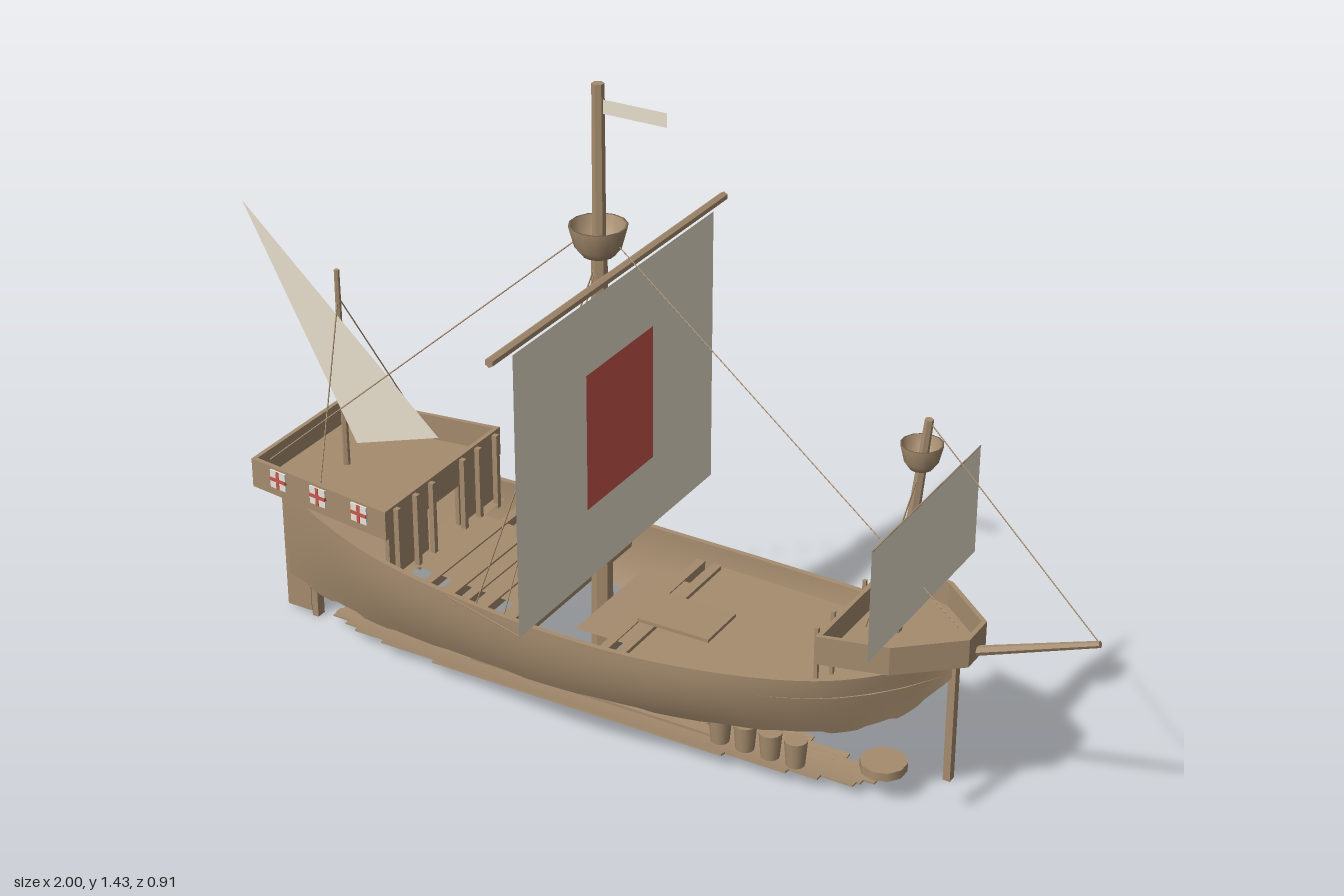
import * as THREE from 'three';

const mat = (name, color, side = THREE.DoubleSide) => {
  const m = new THREE.MeshStandardMaterial({ color, side });
  m.name = name;
  return m;
};

export function createModel() {
  const root = new THREE.Group();
  root.name = 'sailingShip';
  const wood = mat('wood', 0xa58c6e);
  const cloth = mat('sailCloth', 0xe8e0cd);
  const white = mat('shieldWhite', 0xf6f1e6);
  const red = mat('redPaint', 0xc8564b, THREE.FrontSide);

  const V = (x, y, z = 0) => new THREE.Vector3(x, y, z);
  const add = (name, geo, material, parent = root) => {
    const m = new THREE.Mesh(geo, material);
    m.name = name;
    parent.add(m);
    return m;
  };
  const box = (name, x0, x1, y0, y1, z0, z1) => {
    const m = add(name, new THREE.BoxGeometry(x1 - x0, y1 - y0, z1 - z0), wood);
    m.position.set((x0 + x1) / 2, (y0 + y1) / 2, (z0 + z1) / 2);
    return m;
  };
  // six-sided tapered bar between two points
  const bar = (name, a, b, r0, r1, sides = 6) => {
    const g = new THREE.CylinderGeometry(r1, r0, a.distanceTo(b), sides).toNonIndexed();
    g.computeVertexNormals();
    const m = add(name, g, wood);
    m.position.copy(a).add(b).multiplyScalar(0.5);
    m.quaternion.setFromUnitVectors(V(0, 1), b.clone().sub(a).normalize());
    return m;
  };
  const line = (a, b) => bar('rope', a, b, 0.0015, 0.0015, 4);
  // flat polygon from corner points
  const sheet = (name, pts, material) => {
    const g = new THREE.BufferGeometry().setFromPoints(pts);
    g.setIndex(pts.length === 4 ? [0, 1, 2, 0, 2, 3] : [0, 1, 2]);
    g.computeVertexNormals();
    return add(name, g, material);
  };
  // symmetric plan outline from [x, halfWidth] pairs, extruded upwards
  const outline = (pts) => [
    ...pts.map(([x, w]) => new THREE.Vector2(x, -w)),
    ...pts.slice().reverse().map(([x, w]) => new THREE.Vector2(x, w)),
  ];
  const prism = (name, pts, y0, y1, inner) => {
    const s = new THREE.Shape(outline(pts));
    if (inner) s.holes.push(new THREE.Path(outline(inner)));
    const g = new THREE.ExtrudeGeometry(s, { depth: y1 - y0, bevelEnabled: false });
    g.rotateX(-Math.PI / 2).translate(0, y0, 0);
    return add(name, g, wood);
  };
  let seed = 7;
  const rand = () => (seed = (seed * 16807) % 2147483647) / 2147483647;

  // hull stations: x, then half width and height of rim, bilge and lower edge
  const stations = [
    [-0.87, 0.11, 0.39, 0.108, 0.27, 0.095, 0.14],
    [-0.7, 0.178, 0.366, 0.17, 0.26, 0.145, 0.146],
    [-0.5, 0.225, 0.345, 0.217, 0.25, 0.185, 0.155],
    [-0.1, 0.248, 0.32, 0.24, 0.24, 0.214, 0.167],
    [0.2, 0.232, 0.326, 0.222, 0.25, 0.188, 0.175],
    [0.47, 0.18, 0.35, 0.164, 0.28, 0.13, 0.195],
    [0.6, 0.11, 0.37, 0.096, 0.32, 0.073, 0.24],
    [0.695, 0.014, 0.39, 0.012, 0.365, 0.01, 0.33],
  ];
  const curves = [1, 3, 5].map((k) => new THREE.CatmullRomCurve3(
    stations.map((s) => V(s[0], s[k + 1], s[k]))));
  const N = 60, M = 8, thick = 0.012;
  const section = (i) => {
    const p = curves.map((c) => c.getPoint(i / N));
    const ctrl = p[1].clone().multiplyScalar(2).sub(p[0].clone().add(p[2]).multiplyScalar(0.5));
    return new THREE.QuadraticBezierCurve3(p[0], ctrl, p[2]);
  };
  // stepped lower edge shared by both sides
  const ragged = Array.from({ length: N + 1 }, (_, i) => 0.94 + 0.06 * ((Math.floor(i / 4) * 3) % 5) / 4);
  for (const side of [1, -1]) {
    for (const inset of [0, thick]) {
      const pos = [], idx = [];
      for (let i = 0; i <= N; i++) for (let j = 0; j <= M; j++) {
        const p = section(i).getPoint((j / M) * ragged[i]);
        pos.push(p.x, p.y, side * Math.max(p.z - inset, 0.002));
        if (i < N && j < M) {
          const a = i * (M + 1) + j, b = a + M + 1;
          idx.push(...(side > 0 ? [a, a + 1, b, b, a + 1, b + 1] : [a, b, a + 1, b, b + 1, a + 1]));
        }
      }
      const g = new THREE.BufferGeometry();
      g.setAttribute('position', new THREE.Float32BufferAttribute(pos, 3));
      g.setIndex(idx);
      g.computeVertexNormals();
      add(inset ? 'hullLining' : 'hullSide', g, wood);
    }
    // gunwale closing the rim
    const rim = [];
    for (let i = 0; i < N; i++) {
      const a = section(i).getPoint(0), b = section(i + 1).getPoint(0);
      const q = [V(a.x, a.y, a.z), V(b.x, b.y, b.z), V(b.x, b.y, Math.max(b.z - thick, 0.002)), V(a.x, a.y, Math.max(a.z - thick, 0.002))];
      q.forEach((v) => (v.z *= side));
      rim.push(...(side > 0 ? [q[0], q[1], q[2], q[0], q[2], q[3]] : [q[0], q[2], q[1], q[0], q[3], q[2]]));
    }
    const g = new THREE.BufferGeometry().setFromPoints(rim);
    g.computeVertexNormals();
    add('gunwale', g, wood);
  }

  // deck following the sheer, cut open amidships
  const rimAt = (x) => {
    let lo = 0, hi = 1;
    for (let k = 0; k < 30; k++) {
      const m = (lo + hi) / 2;
      if (curves[0].getPoint(m).x < x) lo = m; else hi = m;
    }
    return curves[0].getPoint(lo);
  };
  const deck = (x0, x1, maxW) => {
    const n = 12, pos = [], idx = [];
    for (let i = 0; i <= n; i++) {
      const r = rimAt(x0 + ((x1 - x0) * i) / n), w = Math.min(maxW, r.z - 0.006);
      pos.push(r.x, r.y - 0.045, w, r.x, r.y - 0.045, -w);
      if (i < n) idx.push(2 * i, 2 * i + 2, 2 * i + 1, 2 * i + 1, 2 * i + 2, 2 * i + 3);
    }
    const g = new THREE.BufferGeometry();
    g.setAttribute('position', new THREE.Float32BufferAttribute(pos, 3));
    g.setIndex(idx);
    g.computeVertexNormals();
    add('deck', g, wood);
  };
  deck(-0.865, -0.5, 1);
  deck(-0.5, -0.2, 0.13);
  deck(-0.1, 0.02, 0.14);
  deck(0.045, 0.68, 1);
  for (const [x, w] of [[-0.45, 0.02], [-0.395, 0.035], [-0.35, 0.02], [-0.31, 0.035], [-0.24, 0.035], [-0.19, 0.012], [-0.01, 0.02], [0.03, 0.02]]) {
    const r = rimAt(x);
    box('deckBeam', x - w / 2, x + w / 2, r.y - 0.062, r.y - 0.042, -r.z + 0.008, r.z - 0.008);
  }
  // hatch cover and ladder
  box('hatch', 0.0, 0.17, 0.28, 0.288, -0.06, 0.06);
  for (const z of [-0.03, 0.03]) box('ladderRail', 0.152, 0.158, 0.06, 0.28, z - 0.003, z + 0.003);

  // bottom planking: long strakes with ragged ends, rising slightly outwards
  for (let k = -5; k <= 5; k++) {
    const reach = (1 - (k / 5.6) ** 2) ** 0.4, y = 0.024 + 0.01 * (k / 5) ** 2;
    const x0 = -0.14 - 0.69 * reach * (0.94 + 0.06 * rand()), x1 = -0.14 + 0.69 * reach * (0.94 + 0.06 * rand());
    const strake = box('bottomStrake', x0, x1, y, y + 0.004, k * 0.0165 - 0.0085, k * 0.0165 + 0.0085);
    strake.rotation.x = -0.04 * k;
  }
  box('keelson', -0.44, 0.16, 0.022, 0.036, -0.03, 0.03);

  // stores in the hold
  for (let i = 0; i < 4; i++) for (const z of [-0.077, 0.077]) {
    const b = add('barrel', new THREE.CylinderGeometry(0.025, 0.02, 0.06, 12), wood);
    b.position.set(0.21 + i * 0.059, 0.095, z);
  }
  add('capstanBase', new THREE.CylinderGeometry(0.05, 0.05, 0.02, 10), wood).position.set(0.55, 0.075, 0);
  const funnel = add('funnel', new THREE.ConeGeometry(0.022, 0.045, 10), wood);
  funnel.position.set(-0.61, 0.083, -0.1);
  funnel.rotation.z = Math.PI / 2;

  // stern post, rudder and stem post
  box('sternPost', -0.882, -0.866, 0, 0.385, -0.012, 0.012);
  box('rudder', -0.95, -0.885, 0.01, 0.365, -0.01, 0.01);
  box('stemPost', 0.687, 0.703, 0.09, 0.39, -0.01, 0.01);

  // stern castle
  prism('sternCastleFloor', [[-0.9, 0.17], [-0.515, 0.222]], 0.405, 0.415);
  prism('sternCastleWall', [[-0.9, 0.17], [-0.515, 0.222]], 0.41, 0.473, [[-0.89, 0.161], [-0.525, 0.211]]);
  for (const z of [-0.19, -0.12, -0.06, 0.06, 0.12, 0.19]) box('bulkheadPost', -0.512, -0.5, 0.29, 0.47, z - 0.006, z + 0.006);
  for (const s of [1, -1]) box('bulkhead', -0.53, -0.52, 0.29, 0.41, s > 0 ? 0.06 : -0.205, s > 0 ? 0.205 : -0.06);

  // painted shields
  const slope = Math.atan2(0.052, 0.385);
  for (const s of [1, -1]) for (const x of [-0.82, -0.705, -0.587]) {
    const shield = new THREE.Group();
    shield.name = 'shield';
    add('shieldFace', new THREE.BoxGeometry(0.044, 0.042, 0.004), white, shield);
    add('crossUpright', new THREE.BoxGeometry(0.008, 0.042, 0.007), red, shield);
    add('crossArm', new THREE.BoxGeometry(0.044, 0.008, 0.007), red, shield);
    shield.position.set(x, 0.447, s * (0.173 + (x + 0.9) * 0.135));
    shield.rotation.y = -s * slope;
    root.add(shield);
  }

  // forecastle
  const fore = [[0.475, 0.18], [0.62, 0.145], [0.742, 0.04]];
  prism('forecastleFloor', fore, 0.392, 0.402);
  prism('forecastleWall', fore, 0.395, 0.455, [[0.485, 0.168], [0.615, 0.136], [0.732, 0.036]]);
  for (const z of [-0.14, -0.07, 0.07, 0.14]) box('forecastlePost', 0.455, 0.463, 0.3, 0.45, z - 0.004, z + 0.004);

  // masts, yards and bowsprit
  bar('mainMast', V(-0.12, 0.06), V(-0.12, 1.1), 0.025, 0.016);
  bar('mainTopmast', V(-0.12, 1.05), V(-0.12, 1.432), 0.014, 0.013);
  bar('foreMast', V(0.56, 0.4), V(0.615, 0.89), 0.016, 0.009);
  bar('mizzenMast', V(-0.772, 0.41), V(-0.772, 0.883), 0.008, 0.006);
  bar('mainYard', V(-0.088, 1.031, -0.457), V(-0.088, 1.031, 0.457), 0.01, 0.01);
  bar('foreYard', V(0.62, 0.721, -0.245), V(0.62, 0.721, 0.245), 0.0015, 0.0015);
  bar('bowsprit', V(0.69, 0.39), V(0.995, 0.503), 0.011, 0.007);

  // lookout tops
  const top = (x, y, r, h) => {
    const pts = [[0, 0], [0.55, 0], [0.8, 0.3], [1, 1], [0.9, 1], [0.72, 0.35], [0, 0.2]];
    add('lookoutTop', new THREE.LatheGeometry(pts.map(([a, b]) => new THREE.Vector2(a * r, b * h)), 14), wood).position.set(x, y, 0);
  };
  top(-0.122, 1.068, 0.061, 0.064);
  top(0.602, 0.782, 0.043, 0.052);

  // sails, painted panel and pennant
  const square = (name, x, y0, y1, w, m) => sheet(name, [V(x, y0, w), V(x, y0, -w), V(x, y1, -w), V(x, y1, w)], m);
  square('mainSail', -0.077, 0.393, 1.022, 0.392, cloth);
  square('sailPanel', -0.073, 0.56, 0.865, 0.132, red);
  square('foreSail', 0.62, 0.476, 0.722, 0.245, cloth);
  sheet('mizzenSail', [V(-1, 1, 0.016), V(-0.73, 0.485, 0.016), V(-0.515, 0.555, 0.016)], cloth);
  sheet('pennant', [V(-0.11, 1.37), V(0.035, 1.37), V(0.035, 1.4), V(-0.11, 1.4)], cloth);

  // rigging
  line(V(-0.16, 1.1), V(-0.86, 0.475, 0.155));
  line(V(-0.08, 1.1), V(0.7, 0.45));
  line(V(0.615, 0.885), V(0.993, 0.505));
  for (const s of [1, -1]) {
    for (const x of [-0.285, -0.215, -0.14]) line(V(-0.12, 1.07), V(x, 0.325, s * 0.235));
    line(V(-0.077, 0.395, s * 0.39), V(-0.35, 0.332, s * 0.245));
    line(V(0.605, 0.79), V(0.54, 0.45, s * 0.09));
    line(V(-0.772, 0.82), V(-0.71, 0.47, s * 0.18));
  }
  return root;
}
